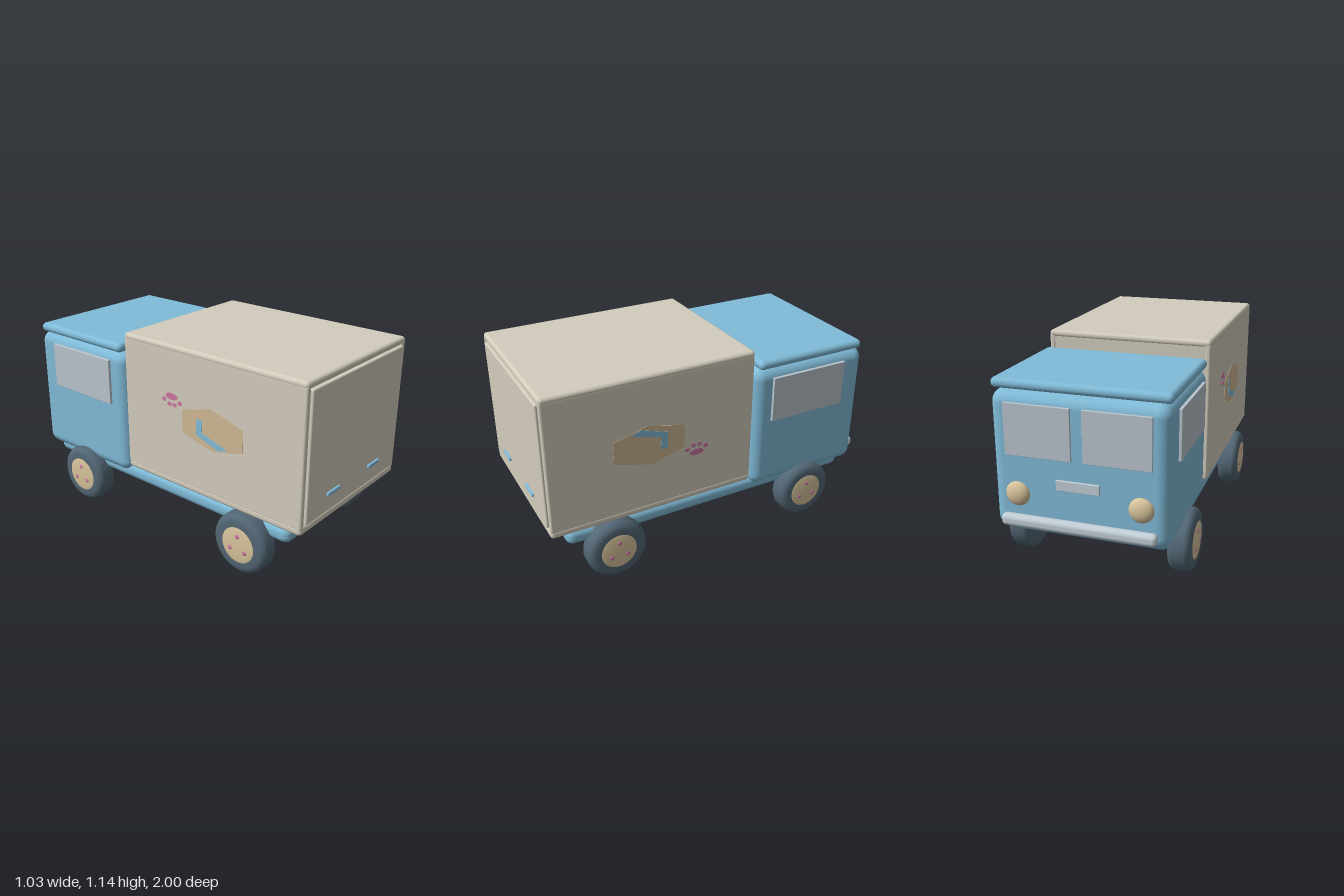
import * as THREE from 'three';
import { RoundedBoxGeometry } from 'three/addons/geometries/RoundedBoxGeometry.js';

const paint = (name, color) => {
  const m = new THREE.MeshStandardMaterial({ color });
  m.name = name;
  return m;
};

export function createModel() {
  const blue = paint('blue paint', 0x80bbd8);
  const cream = paint('cream panel', 0xd2ccbc);
  const rubber = paint('slate rubber', 0x526674);
  const tan = paint('tan', 0xd8c49c);
  const pink = paint('pink', 0xcb78a3);
  const glass = paint('grey glass', 0xbac4cc);
  const metal = paint('pale metal', 0xc2ced6);
  const card = paint('cardboard', 0xcfb994);

  const truck = new THREE.Group();
  truck.name = 'deliveryTruck';

  const add = (name, geometry, material, parent = truck) => {
    const mesh = new THREE.Mesh(geometry, material);
    mesh.name = name;
    parent.add(mesh);
    return mesh;
  };
  // Rounded block given by its [min, max] extent on each axis
  const block = (name, x, y, z, r, material) => {
    const g = new RoundedBoxGeometry(x[1] - x[0], y[1] - y[0], z[1] - z[0], 4, r);
    g.translate((x[0] + x[1]) / 2, (y[0] + y[1]) / 2, (z[0] + z[1]) / 2);
    return add(name, g, material);
  };

  // Chassis and cab
  block('chassis', [-0.428, 0.428], [0.228, 0.325], [-0.875, 0.885], 0.042, blue);
  block('cabBody', [-0.457, 0.457], [0.272, 1.005], [-0.957, -0.222], 0.065, blue);
  block('cabRoof', [-0.46, 0.46], [1.005, 1.058], [-0.93, -0.25], 0.026, blue);

  // Cargo box: core, roof, floor, side walls, rear door
  block('cargoCore', [-0.44, 0.44], [0.36, 1.12], [-0.2, 0.965], 0.005, cream);
  block('cargoRoof', [-0.464, 0.464], [1.1, 1.14], [-0.205, 0.98], 0.019, cream);
  block('cargoFloor', [-0.464, 0.464], [0.338, 0.388], [-0.205, 0.98], 0.02, cream);
  block('cargoDoor', [-0.426, 0.426], [0.392, 1.097], [0.94, 0.988], 0.008, cream);
  for (const s of [-1, 1]) {
    const span = (a, b) => (s > 0 ? [a, b] : [-b, -a]);
    block('cargoWall', span(0.43, 0.463), [0.37, 1.12], [-0.204, 0.979], 0.012, cream);
    block('doorHandle', span(0.14, 0.256), [0.482, 0.504], [0.98, 1], 0.007, blue);
    block('sideWindow', span(0.452, 0.472), [0.69, 0.953], [-0.81, -0.332], 0.003, glass);
    block('windscreen', span(0.03, 0.375), [0.685, 0.953], [-0.968, -0.95], 0.003, glass);

    const lamp = add('headlight', new THREE.SphereGeometry(1, 32, 20), tan);
    lamp.scale.set(0.064, 0.064, 0.036);
    lamp.position.set(s * 0.32, 0.483, -0.957);
  }
  block('frontPlate', [-0.112, 0.112], [0.53, 0.583], [-0.968, -0.95], 0.003, metal);
  block('bumper', [-0.405, 0.405], [0.312, 0.376], [-1, -0.945], 0.025, metal);

  // Wheels
  const half = [[0.17, 0.03], [0.162, 0.046], [0.148, 0.058], [0.13, 0.0625], [0.1, 0.0625], [0, 0.0625]];
  const profile = [...half.map(([r, t]) => [r, -t]).reverse(), ...half].map(([r, t]) => new THREE.Vector2(r, t));
  const tyreGeometry = new THREE.LatheGeometry(profile, 48).rotateZ(-Math.PI / 2);
  const ball = new THREE.SphereGeometry(1, 32, 20);
  for (const s of [-1, 1]) {
    for (const z of [-0.587, 0.63]) {
      const wheel = new THREE.Group();
      wheel.name = z < 0 ? 'cabWheel' : 'cargoWheel';
      wheel.position.set(s * 0.443, 0.17, z);
      truck.add(wheel);
      add('tyre', tyreGeometry, rubber, wheel);
      const hub = add('hubcap', ball, tan, wheel);
      hub.scale.set(0.009, 0.106, 0.106);
      hub.position.x = s * 0.06;
      for (let i = 0; i < 3; i++) {
        const a = Math.PI / 2 + (i * Math.PI * 2) / 3;
        const nut = add('wheelNut', ball, pink, wheel);
        nut.scale.set(0.011, 0.017, 0.017);
        nut.position.set(s * 0.061, 0.053 * Math.sin(a), 0.053 * Math.cos(a));
      }
    }
  }

  // Painted parcel and paw print, in (z, y) measured from the panel centre height
  const midY = 0.743;
  const outline = pts => new THREE.Shape(pts.map(([z, y]) => new THREE.Vector2(-z, y - midY)));
  const oval = (z, y, rx, ry) => new THREE.Shape().absellipse(-z, y - midY, rx, ry, 0, Math.PI * 2);
  const parcel = outline([[0.62, 0.81], [0.62, 0.685], [0.41, 0.626], [0.217, 0.68], [0.217, 0.81], [0.425, 0.862]]);
  const tape = outline([[0.525, 0.826], [0.352, 0.775], [0.356, 0.705], [0.318, 0.703], [0.313, 0.796], [0.465, 0.845]]);
  const paw = [oval(0.142, 0.627, 0.042, 0.019)];
  for (const [z, y] of [[0.2, 0.653], [0.163, 0.672], [0.126, 0.672], [0.088, 0.653]]) paw.push(oval(z, y, 0.014, 0.012));
  const plate = (shapes, depth) =>
    new THREE.ExtrudeGeometry(shapes, { depth, bevelEnabled: false, curveSegments: 10 }).rotateY(Math.PI / 2).translate(0.462, 0, 0);

  for (const turn of [0, Math.PI]) {
    const picture = new THREE.Group();
    picture.name = 'sidePicture';
    picture.position.y = midY;
    picture.rotation.z = turn;
    truck.add(picture);
    add('parcel', plate(parcel, 0.003), card, picture);
    add('parcelTape', plate(tape, 0.005), blue, picture);
    add('pawPrint', plate(paw, 0.003), pink, picture);
  }

  return truck;
}
